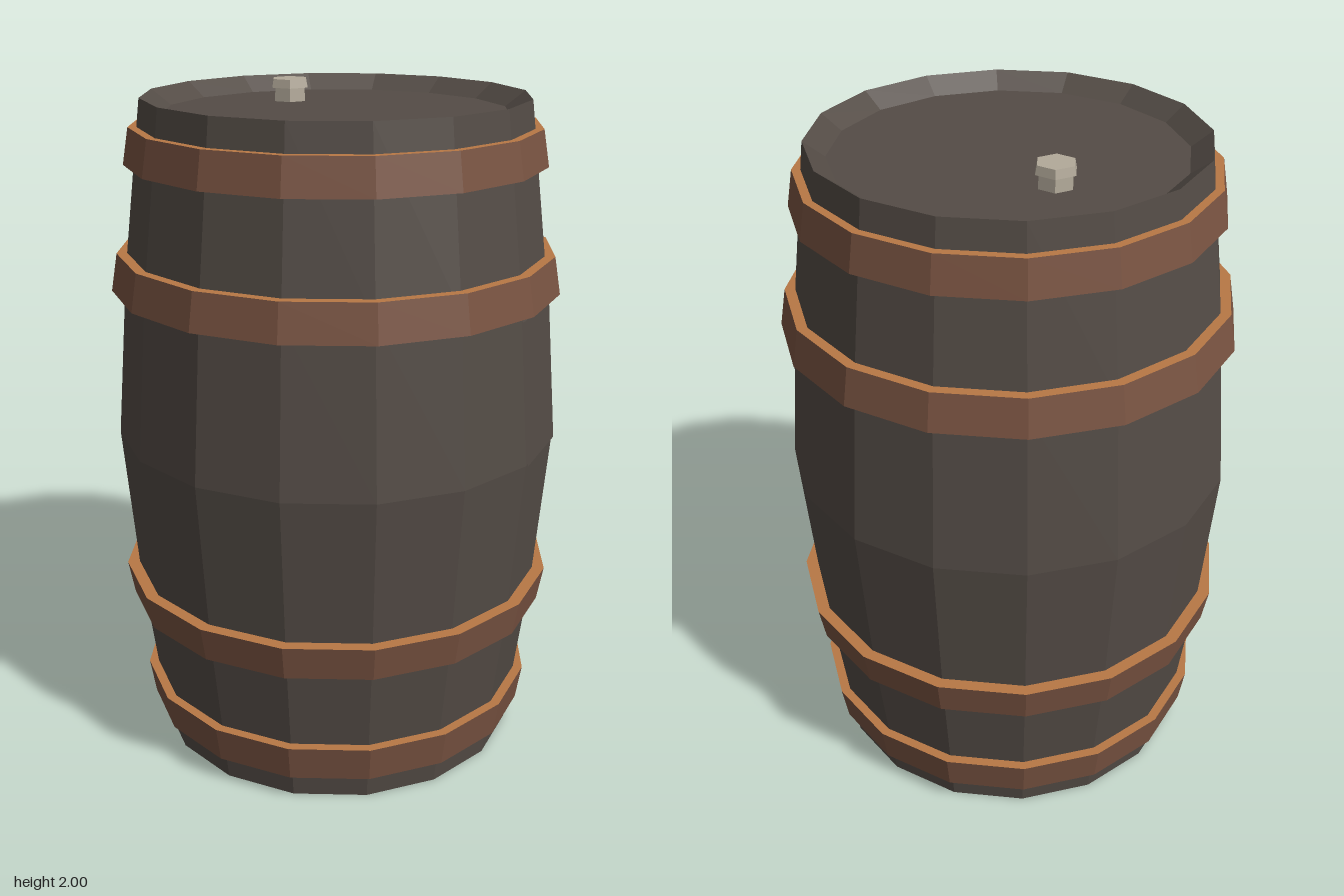
import * as THREE from 'three';

const SIDES = 16;

function paint(name, color) {
  const m = new THREE.MeshStandardMaterial({ color });
  m.name = name;
  return m;
}

// Gives every facet its own normal for the low-poly look
function faceted(geometry) {
  const g = geometry.index ? geometry.toNonIndexed() : geometry;
  g.computeVertexNormals();
  return g;
}

function addMesh(parent, name, geometry, material) {
  const mesh = new THREE.Mesh(faceted(geometry), material);
  mesh.name = name;
  parent.add(mesh);
  return mesh;
}

// Profile points are [radius, y], listed from bottom to top on the outside
function lathe(points) {
  return new THREE.LatheGeometry(points.map(([r, y]) => new THREE.Vector2(r, y)), SIDES);
}

export function createModel() {
  const wood = paint('dark wood', 0x544c46);
  const iron = paint('rusty iron', 0x7a5442);
  const edge = paint('bright hoop edge', 0xb87845);
  const cork = paint('pale bung', 0xb3aa9a);

  const barrel = new THREE.Group();
  barrel.name = 'barrel';

  // Bulging body with a chamfered rim leading down to the lid
  addMesh(barrel, 'body', lathe([
    [0, 0], [0.56, 0], [0.622, 0.49], [0.663, 0.99], [0.622, 1.48], [0.56, 1.98], [0.5, 1.935],
  ]), wood);
  addMesh(barrel, 'lid', lathe([[0.5, 1.935], [0, 1.935]]), wood);

  // Hoops: bottom y, top y, bottom radius, top radius, inner radius
  const hoops = [
    [0.08, 0.19, 0.595, 0.613, 0.565],
    [0.445, 0.55, 0.645, 0.664, 0.61],
    [1.43, 1.54, 0.664, 0.645, 0.61],
    [1.795, 1.9, 0.613, 0.595, 0.565],
  ];
  hoops.forEach(([y0, y1, r0, r1, inner], i) => {
    const hoop = new THREE.Group();
    hoop.name = `hoop${i + 1}`;
    addMesh(hoop, 'hoopBand', lathe([[inner, y0], [r0, y0], [r1, y1]]), iron);
    addMesh(hoop, 'hoopTopEdge', lathe([[r1, y1], [inner, y1]]), edge);
    barrel.add(hoop);
  });

  // Thin repair plate covering one stave on the front left
  const plate = new THREE.LatheGeometry(
    [[0.62, 0.99], [0.669, 0.99], [0.634, 1.41], [0.58, 1.41]].map(([r, y]) => new THREE.Vector2(r, y)),
    1, Math.PI / 8, Math.PI / 8);
  addMesh(barrel, 'stavePlate', plate, wood);

  // Six-sided bung: narrow stem and slightly wider head
  const bung = new THREE.Group();
  bung.name = 'bung';
  const stem = addMesh(bung, 'bungStem', new THREE.CylinderGeometry(0.05, 0.053, 0.06, 6), cork);
  stem.position.y = 1.95;
  const head = addMesh(bung, 'bungHead', new THREE.CylinderGeometry(0.056, 0.061, 0.025, 6), cork);
  head.position.y = 1.9875;
  for (const part of bung.children) part.rotation.y = Math.PI / 6;
  bung.position.z = -0.265;
  barrel.add(bung);

  return barrel;
}
